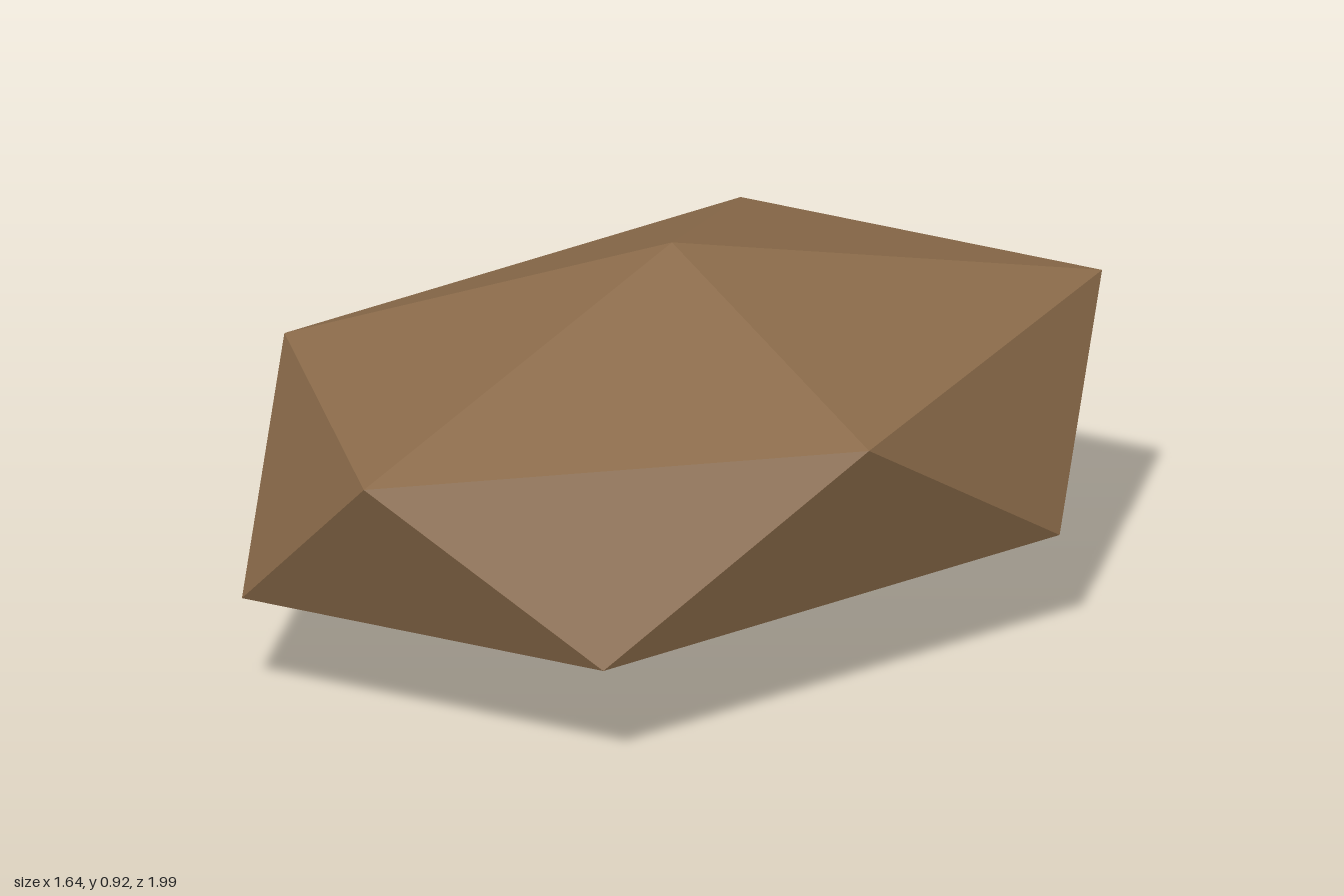
import * as THREE from 'three';

// Low-poly boulder: a stretched, flattened twenty-sided stone
export function createModel() {
  const group = new THREE.Group();
  group.name = 'boulder';

  const brown = new THREE.MeshStandardMaterial({ color: 0x8b6b4a, flatShading: true });
  brown.name = 'earth brown';

  const height = 0.92, upperY = 0.666, lowerY = height - upperY;

  // Skewed five-sided ring; the lower ring is offset by half a step
  const ringPoint = (step, y) => {
    const a = step * Math.PI * 2 / 5;
    const c = Math.cos(a), s = Math.sin(a);
    return [-0.315 * c + 0.76 * s, y, 0.997 * c + 0.054 * s];
  };

  const top = [0, height, 0], bottom = [0, 0, 0];
  const positions = [];
  const addFace = (...corners) => corners.forEach((p) => positions.push(...p));

  for (let k = 0; k < 5; k++) {
    const u0 = ringPoint(k, upperY), u1 = ringPoint(k + 1, upperY);
    const l0 = ringPoint(k + 0.5, lowerY), l1 = ringPoint(k + 1.5, lowerY);
    addFace(top, u0, u1);       // cap
    addFace(u0, l0, u1);        // side, pointing down
    addFace(l0, l1, u1);        // side, pointing up
    addFace(bottom, l1, l0);    // underside
  }

  const geometry = new THREE.BufferGeometry();
  geometry.setAttribute('position', new THREE.Float32BufferAttribute(positions, 3));
  geometry.computeVertexNormals();

  const stone = new THREE.Mesh(geometry, brown);
  stone.name = 'stone';
  group.add(stone);
  return group;
}
